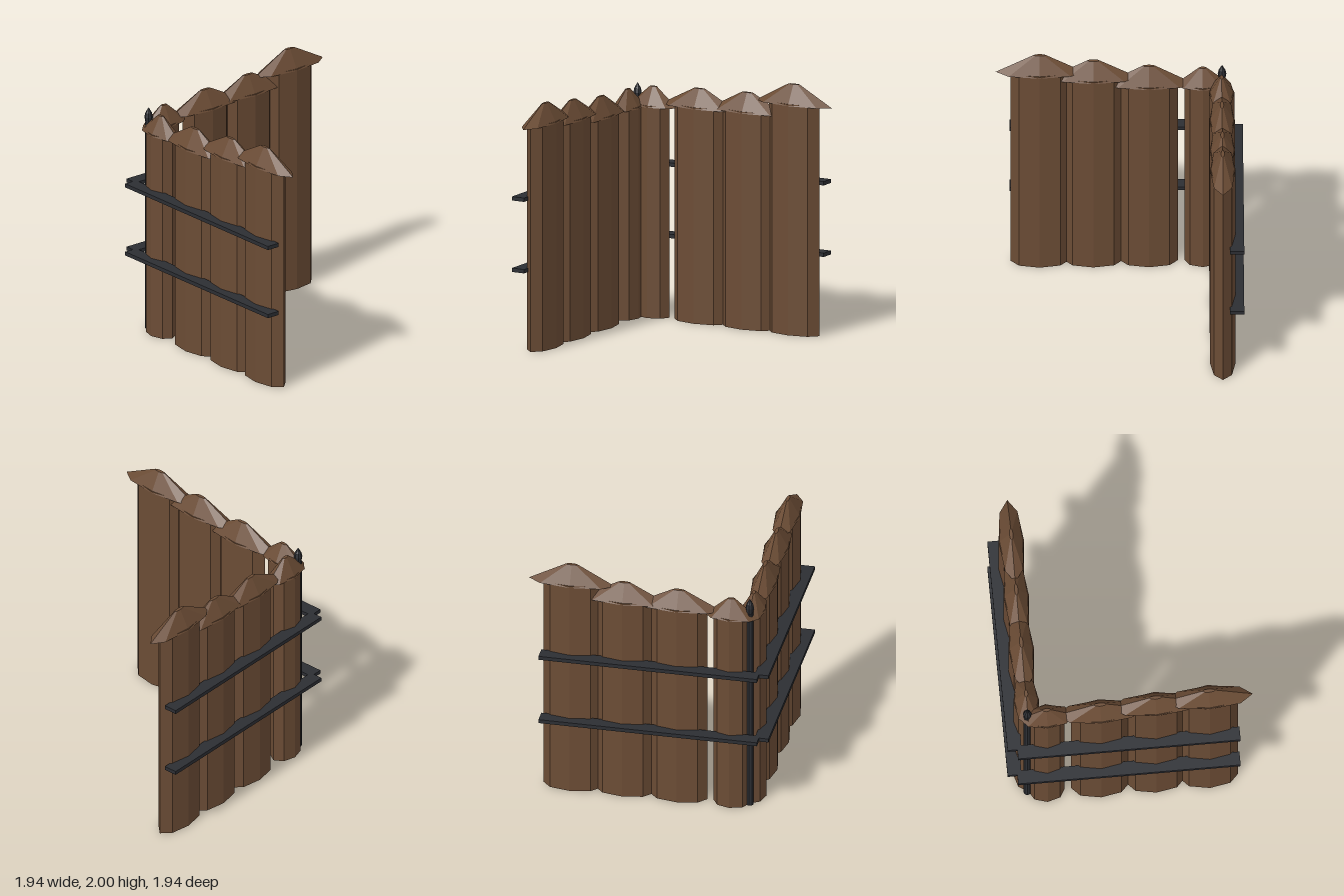
import * as THREE from 'three';

const wood = new THREE.MeshStandardMaterial({ color: 0x6b4c35, flatShading: true });
const iron = new THREE.MeshStandardMaterial({ color: 0x2c2e33, flatShading: true });

const LINE = 0.806;   // distance of each wall from the centre
const DEPTH = 0.1;    // half thickness of a log

function add(parent, name, geometry, material, x, y, z) {
  const mesh = new THREE.Mesh(geometry, material);
  mesh.name = name;
  mesh.position.set(x, y, z);
  parent.add(mesh);
  return mesh;
}

// A wall runs along local x; each log is a flattened octagonal post with a wider blunt cap
function buildWall(name, caps) {
  const wall = new THREE.Group();
  wall.name = name;
  const centres = [-0.658, -0.236, 0.2, 0.622];
  centres.forEach((x, i) => {
    const r = i === 0 ? 0.143 : 0.23;
    const [base, peak] = caps[i];
    const top = base + 0.014;
    add(wall, 'log', new THREE.CylinderGeometry(r, r, top, 8).scale(1, 1, DEPTH / r),
      wood, x, top / 2, LINE);
    const capR = r * 1.5;
    add(wall, 'logCap', new THREE.CylinderGeometry(capR * 0.145, capR, peak - base, 8).scale(1, 1, DEPTH / capR),
      wood, x, (base + peak) / 2, LINE);
  });
  // Two horizontal rails on the outer face
  for (const y of [0.641, 1.215]) {
    add(wall, 'rail', new THREE.BoxGeometry(1.753, 0.031, 0.111), iron, -0.02, y, 0.918);
  }
  return wall;
}

export function createModel() {
  const model = new THREE.Group();
  model.name = 'palisadeCorner';

  model.add(buildWall('frontWall', [[1.682, 1.835], [1.69, 1.855], [1.75, 1.907], [1.803, 1.96]]));

  // The side wall turns the corner, rising towards the back
  const side = buildWall('sideWall', [[1.688, 1.845], [1.72, 1.872], [1.734, 1.888], [1.84, 2.0]]);
  // Turn about the corner diagonal: local x becomes -z, local z becomes -x
  side.traverse((o) => {
    if (!o.isMesh) return;
    const { x, y, z } = o.position;
    o.position.set(-z, y, -x);
    o.rotation.y = Math.PI / 2;
  });
  model.add(side);

  // Iron corner pole with a spear tip
  add(model, 'cornerPole', new THREE.CylinderGeometry(0.03, 0.03, 1.73, 8), iron, -LINE - 0.004, 0.865, LINE);
  const tip = [[0, 0], [0.024, 0], [0.034, 0.06], [0.026, 0.095], [0, 0.14]].map(([r, y]) => new THREE.Vector2(r, y));
  add(model, 'spearTip', new THREE.LatheGeometry(tip, 8), iron, -LINE - 0.004, 1.72, LINE);

  return model;
}
